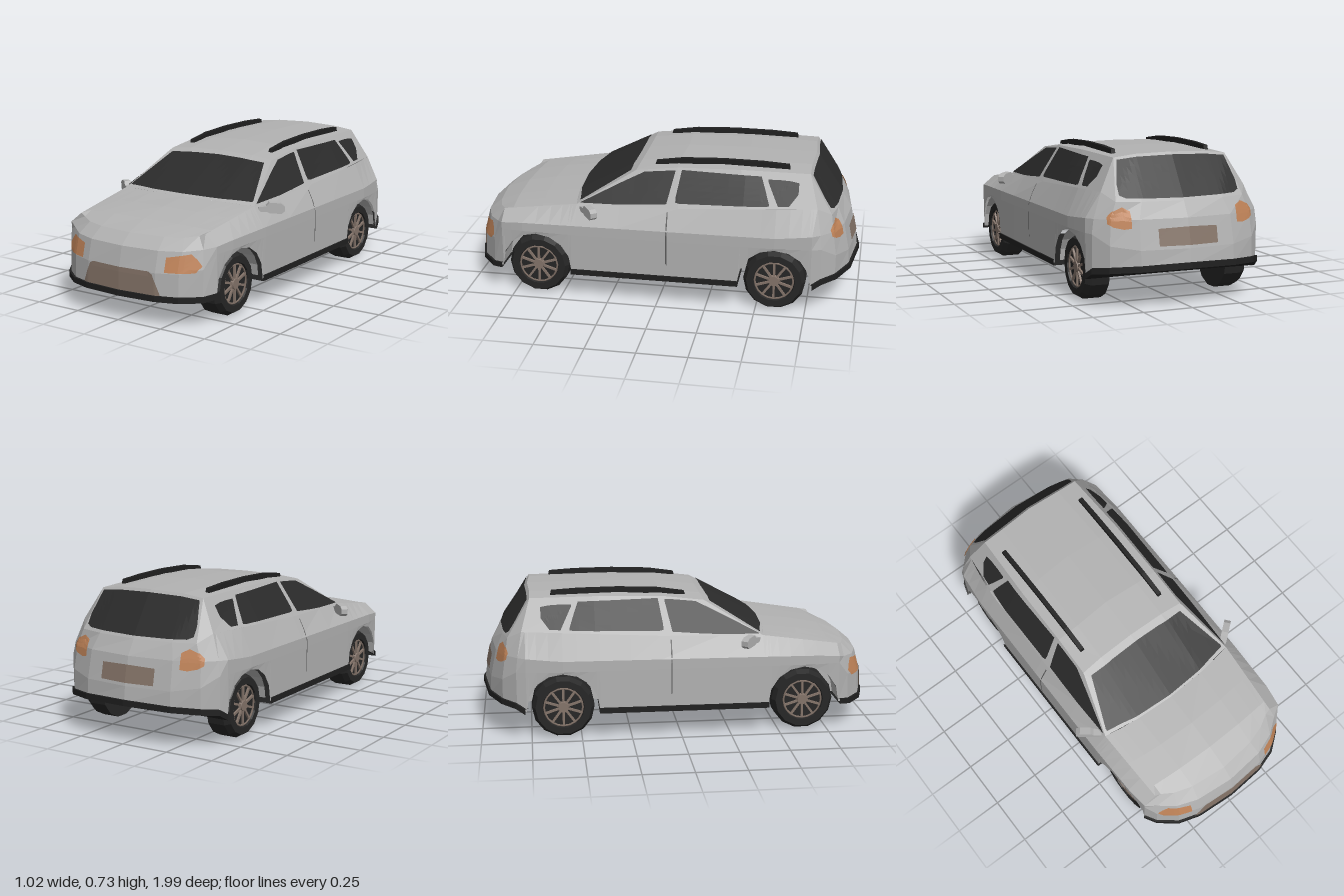
import * as THREE from 'three';

const mat = (name, color) => new THREE.MeshStandardMaterial({ name, color, side: THREE.DoubleSide });
const M = {
  body: mat('silver paint', 0xb2b2b2), glass: mat('dark glass', 0x2b2b2b),
  trim: mat('black trim', 0x202020), tyre: mat('tyre rubber', 0x262626),
  rim: mat('wheel metal', 0x84746a), lamp: mat('amber lamp', 0xc08358),
  grille: mat('grille brown', 0x857468), seam: mat('door seam', 0x5c5c5c),
};

// linear lookup in rows [z, ...values] ordered from front to back
function at(table, z) {
  let i = 0;
  while (i < table.length - 2 && z < table[i + 1][0]) i++;
  const a = table[i], b = table[i + 1];
  const t = Math.min(1, Math.max(0, (z - a[0]) / (b[0] - a[0])));
  return a.slice(1).map((v, k) => v + (b[k + 1] - v) * t);
}

// faceted surface from grids of points, optionally mirrored in x
function surface(name, material, grids, mirror = true) {
  const out = [];
  for (const s of mirror ? [1, -1] : [1]) for (const g of grids)
    for (let i = 0; i < g.length - 1; i++) for (let j = 0; j < g[i].length - 1; j++) {
      const q = [g[i][j], g[i + 1][j], g[i + 1][j + 1], g[i][j + 1]];
      if (s < 0) q.reverse();
      for (const k of s > 0 ? [0, 1, 2, 0, 2, 3] : [3, 2, 1, 3, 1, 0].map((n) => 3 - n).reverse())
        out.push(q[k][0] * s, q[k][1], q[k][2]);
    }
  const geo = new THREE.BufferGeometry();
  geo.setAttribute('position', new THREE.Float32BufferAttribute(out, 3));
  geo.computeVertexNormals();
  const mesh = new THREE.Mesh(geo, material);
  mesh.name = name;
  return mesh;
}

function faceted(geo) {
  const g = geo.toNonIndexed();
  g.computeVertexNormals();
  return g;
}

function add(parent, name, geo, material) {
  const m = new THREE.Mesh(geo, material);
  m.name = name;
  parent.add(m);
  return m;
}

const AXLES = [0.625, -0.59], ARCH = 0.183, WY = 0.157;
const SHOULDER = [[0.81, 0.375, 0.437], [0.42, 0.395, 0.495], [-0.1, 0.41, 0.51], [-0.6, 0.405, 0.537], [-0.79, 0.375, 0.54]];
const WIDTH = [[0.81, 0.437, 0.385], [0.7, 0.452, 0.395], [0.4, 0.46, 0.4], [-0.6, 0.46, 0.405], [-0.775, 0.443, 0.42]];
const shoulder = (z) => { const [x, y] = at(SHOULDER, z); return [x, y, z]; };

// one side column: bottom edge, waist, crease, shoulder
function sideColumn(z, bottom) {
  const [x, crease] = at(WIDTH, z);
  return [[x, bottom, z], [x + 0.003, 0.35, z], [x + 0.003, crease, z], shoulder(z)];
}
function archColumns(axle) {
  const cols = [];
  for (let i = 0; i <= 8; i++) {
    const a = (i * Math.PI) / 8;
    cols.push(sideColumn(axle + ARCH * Math.cos(a), i % 8 ? WY + ARCH * Math.sin(a) : 0.145));
  }
  return cols;
}

// rounded nose and tail columns, from the centre line outwards
const NOSE = [
  [[0, 0.135, 0.99], [0, 0.258, 0.985], [0, 0.36, 0.962], [0, 0.412, 0.9]],
  [[0.2, 0.135, 0.975], [0.2, 0.258, 0.97], [0.2, 0.36, 0.943], [0.19, 0.412, 0.88]],
  [[0.31, 0.135, 0.94], [0.31, 0.26, 0.932], [0.31, 0.362, 0.903], [0.285, 0.415, 0.85]],
  [[0.4, 0.135, 0.868], [0.4, 0.28, 0.862], [0.387, 0.37, 0.843], [0.345, 0.425, 0.815]],
];
const TAIL = [
  [[0.43, 0.175, -0.82], [0.432, 0.35, -0.82], [0.42, 0.42, -0.812], [0.375, 0.54, -0.79]],
  [[0.37, 0.185, -0.89], [0.37, 0.3, -0.89], [0.36, 0.42, -0.872], [0.33, 0.5, -0.86]],
  [[0.24, 0.193, -0.953], [0.24, 0.28, -0.948], [0.235, 0.42, -0.92], [0.21, 0.497, -0.885]],
  [[0, 0.2, -0.985], [0, 0.28, -0.975], [0, 0.42, -0.945], [0, 0.495, -0.9]],
];

function buildShell() {
  const front = archColumns(AXLES[0]), rear = archColumns(AXLES[1]);
  const sill = [0.42, 0.2, -0.1, -0.25].map((z) => sideColumn(z, 0.145));
  const walls = [...NOSE, ...front, ...sill, ...rear, ...TAIL];
  // bonnet
  const lip = [...NOSE, front[0]].map((c) => c[3]);
  const hoodLine = (z, crown, bow) => lip.map(([x]) => {
    const f = x / lip[4][0], e = shoulder(z);
    return [e[0] * f, e[1] + crown * (1 - f * f), z + bow * (1 - f * f)];
  });
  const hood = [lip, hoodLine(0.76, 0.012, 0.02), hoodLine(0.6, 0.016, 0.03), hoodLine(0.42, 0.008, 0.04)];
  // cabin
  const roof = [[0.31, 0.665, 0.13], [0.307, 0.69, -0.08], [0.305, 0.697, -0.4], [0.292, 0.692, -0.745]]
    .map(([x, y, z], i) => [[x, y, z], [x * 0.62, y + 0.013, z - (i ? 0 : 0.008)], [0, y + 0.018, z - (i < 3 ? 0.012 : 0.01)]]);
  const belt = [0.42, 0.13, -0.1, -0.45, -0.79].map(shoulder);
  const sides = [belt, [belt[0], ...roof.map((r) => r[0])]];
  const screen = [[belt[0], [0.21, 0.501, 0.449], [0, 0.503, 0.46]], roof[0]];
  const gate = [TAIL.slice(1).map((c) => c[3]), roof[3]];
  const pillar = [[TAIL[0][3], TAIL[1][3]], [roof[3][0], roof[3][0]]];
  return { shell: surface('bodyShell', M.body, [walls, hood, sides, screen, roof, gate, pillar]), front, sill, rear };
}

// thin plate laid on the shell; spans are [u, low, high], seen from one direction
function plate(shell, name, material, spans, dir, s = 1) {
  const ray = new THREE.Raycaster(), rows = [], N = 5;
  const project = (u, v) => {
    const o = dir === 'side' ? [3 * s, v, u] : [u * s + 1e-5, v, dir === 'front' ? 3 : -3];
    const d = dir === 'side' ? [-s, 0, 0] : [0, 0, dir === 'front' ? -1 : 1];
    ray.set(new THREE.Vector3(...o), new THREE.Vector3(...d));
    const hit = ray.intersectObject(shell)[0];
    if (!hit) return null;
    const n = hit.face.normal.clone();
    if (n.dot(ray.ray.direction) > 0) n.negate();
    return hit.point.addScaledVector(n, 0.005).toArray();
  };
  for (let i = 0; i < spans.length - 1; i++) for (let k = i ? 1 : 0; k <= N; k++) {
    const [u, lo, hi] = spans[i].map((v, n) => v + ((spans[i + 1][n] - v) * k) / N);
    const row = [];
    for (let j = 0; j <= N; j++) row.push(project(u, lo + ((hi - lo) * j) / N));
    if (row.every(Boolean)) rows.push(row);
  }
  return surface(name, material, [rows], false);
}

// black lower edge with its floor panel
function lowerTrim(name, columns) {
  const p = columns.map((c) => c[0]);
  const ring = (k, dy) => p.map(([x, y, z]) => [x * (1 + k), y + dy, z * (1 + k * 0.6)]);
  const floor = p.map(([, y, z]) => [0, y - 0.012, z]);
  return surface(name, M.trim, [[ring(-0.02, 0.016), ring(0.016, 0.016), ring(0.016, -0.012), floor]]);
}

function buildWheel() {
  const wheel = new THREE.Group();
  const profile = [[0, 0], [0.157, 0], [0.157, 0.09], [0.14, 0.118], [0.106, 0.118], [0.1, 0.1], [0, 0.1]];
  add(wheel, 'tyre', faceted(new THREE.LatheGeometry(profile.map((p) => new THREE.Vector2(...p)), 14)), M.tyre);
  add(wheel, 'hub', new THREE.CylinderGeometry(0.026, 0.03, 0.016, 10).translate(0, 0.108, 0), M.rim);
  add(wheel, 'rimRing', new THREE.TorusGeometry(0.097, 0.005, 4, 20).rotateX(Math.PI / 2).translate(0, 0.108, 0), M.rim);
  for (let i = 0; i < 10; i++)
    add(wheel, 'spoke', new THREE.BoxGeometry(0.075, 0.01, 0.011).translate(0.06, 0.106, 0).rotateY((i * Math.PI) / 5), M.rim);
  return wheel;
}

export function createModel() {
  const car = new THREE.Group();
  car.name = 'estateCar';
  const { shell, front, sill, rear } = buildShell();
  car.add(shell);
  car.add(lowerTrim('frontLip', [...NOSE, front[0]]));
  car.add(lowerTrim('sillAndFloor', [front[8], ...sill, rear[0]]));
  car.add(lowerTrim('rearLip', [rear[8], ...TAIL]));

  // glass, grille and number panel on the centre line
  const both = (half) => [...half.map(([x, a, b]) => [-x, a, b]), ...half.slice(0, -1).reverse()];
  car.add(plate(shell, 'windscreen', M.glass, both([[0.373, 0.506, 0.512], [0.285, 0.508, 0.651], [0.15, 0.508, 0.66], [0, 0.509, 0.664]]), 'front'));
  car.add(plate(shell, 'rearWindow', M.glass, both([[0.308, 0.525, 0.57], [0.28, 0.512, 0.68], [0.18, 0.508, 0.69], [0, 0.506, 0.695]]), 'back'));
  car.add(plate(shell, 'grille', M.grille, both([[0.225, 0.152, 0.156], [0.185, 0.152, 0.252], [0.165, 0.152, 0.262], [0, 0.152, 0.262]]), 'front'));
  car.add(plate(shell, 'rearPanel', M.grille, [[-0.15, 0.295, 0.375], [0, 0.295, 0.38], [0.15, 0.295, 0.375]], 'back'));

  for (const s of [1, -1]) {
    const side = s > 0 ? 'left' : 'right';
    const put = (name, m, spans, dir) => car.add(plate(shell, side + name, m, spans, dir, s));
    // side windows and door seam
    put('FrontWindow', M.glass, [[0.4, 0.501, 0.504], [0.2, 0.506, 0.605], [0.085, 0.514, 0.66], [-0.04, 0.525, 0.673], [-0.072, 0.668, 0.675]], 'side');
    put('RearWindow', M.glass, [[-0.085, 0.535, 0.56], [-0.105, 0.531, 0.68], [-0.505, 0.541, 0.672], [-0.53, 0.541, 0.61], [-0.552, 0.545, 0.55]], 'side');
    put('QuarterWindow', M.glass, [[-0.54, 0.65, 0.66], [-0.595, 0.545, 0.66], [-0.65, 0.547, 0.657], [-0.692, 0.6, 0.65]], 'side');
    put('DoorSeam', M.seam, [[-0.046, 0.23, 0.49], [-0.052, 0.22, 0.49]], 'side');
    // lamps
    put('Headlamp', M.lamp, [[0.242, 0.263, 0.332], [0.345, 0.264, 0.351], [0.372, 0.267, 0.325], [0.393, 0.294, 0.298]], 'front');
    put('TailLamp', M.lamp, [[0.27, 0.38, 0.455], [0.305, 0.375, 0.475], [0.35, 0.385, 0.455], [0.372, 0.4, 0.43]], 'back');

    // roof rail
    const rail = new THREE.Shape([[0.04, 0.685], [0.035, 0.702], [-0.1, 0.722], [-0.3, 0.73], [-0.5, 0.728], [-0.635, 0.72], [-0.64, 0.698], [-0.3, 0.705]]
      .map(([z, y]) => new THREE.Vector2(-z, y)));
    add(car, side + 'RoofRail', new THREE.ExtrudeGeometry(rail, { depth: 0.022, bevelEnabled: false })
      .rotateY(Math.PI / 2).translate(s * 0.247 - 0.011, 0, 0), M.trim);

    // door mirror, swept back
    const head = new THREE.Shape([[-0.01, 0.465], [0.035, 0.463], [0.045, 0.457], [0.105, 0.452], [0.12, 0.465], [0.12, 0.49], [0.1, 0.505], [0.045, 0.51], [0.03, 0.492], [-0.01, 0.488]]
      .map(([x, y]) => new THREE.Vector2(x * s, y)));
    const mirror = add(car, side + 'Mirror', new THREE.ExtrudeGeometry(head, { depth: 0.035, bevelEnabled: false }).translate(0, 0, -0.018), M.body);
    mirror.position.set(s * 0.405, 0, 0.385);
    mirror.rotation.y = s * 0.68;

    // wheels and wheel housings
    AXLES.forEach((z, i) => {
      const wheel = buildWheel();
      wheel.name = side + (i ? 'RearWheel' : 'FrontWheel');
      wheel.rotation.z = -s * Math.PI / 2;
      wheel.position.set(s * 0.308, WY, z);
      car.add(wheel);
      const well = new THREE.CylinderGeometry(ARCH, ARCH, 0.135, 10, 1, true, 0, Math.PI).rotateZ(Math.PI / 2);
      add(car, side + 'WheelHousing', faceted(well), M.body).position.set(s * 0.365, WY, z);
      const wall = new THREE.CircleGeometry(ARCH, 10, 0, Math.PI).rotateY(Math.PI / 2);
      add(car, side + 'HousingWall', wall, M.body).position.set(s * 0.298, WY, z);
    });
  }
  return car;
}
